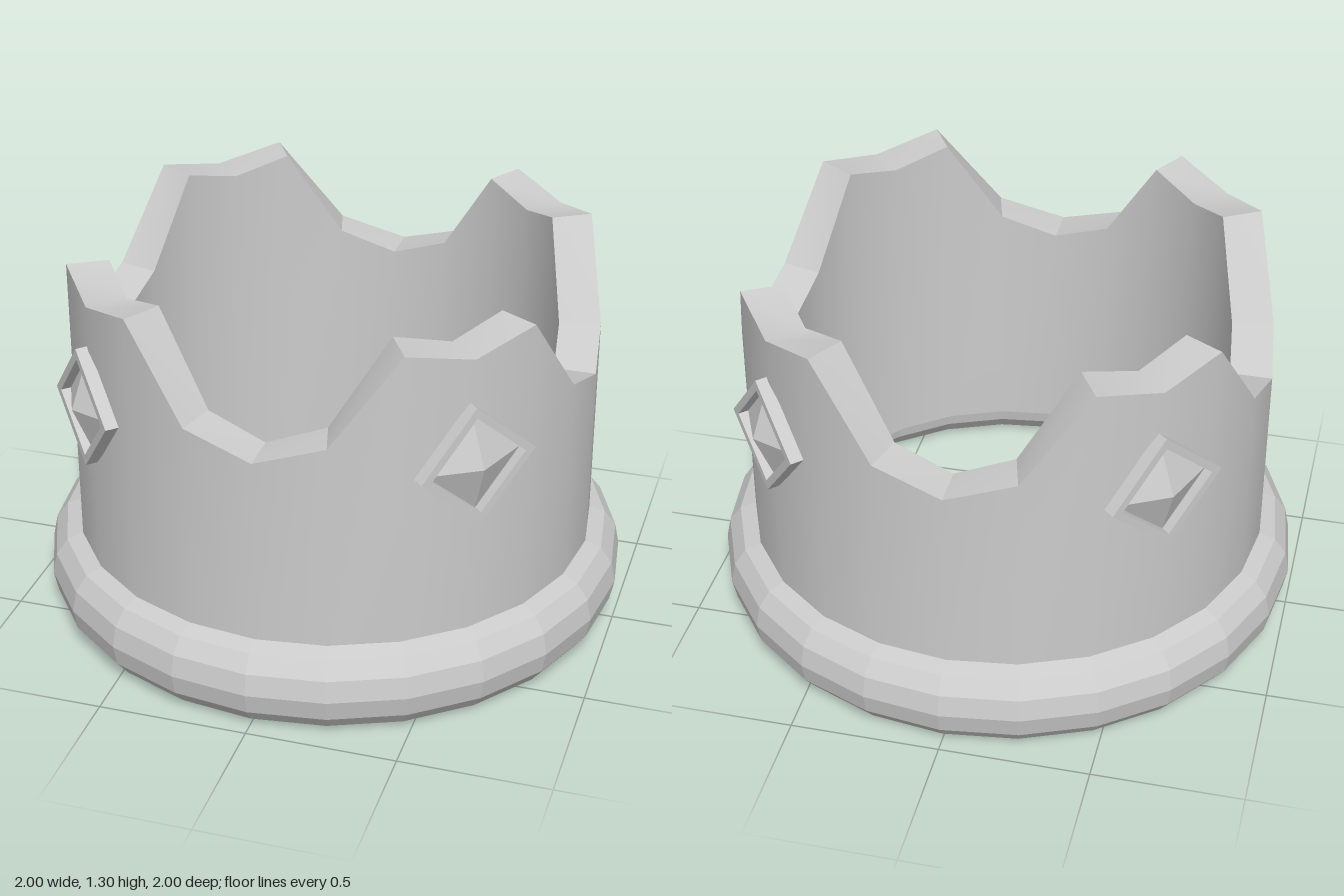
import * as THREE from 'three';
import { toCreasedNormals } from 'three/addons/utils/BufferGeometryUtils.js';

const SIDES = 24;
const OUTER = 0.89;
const INNER = 0.75;
const WALL_BOTTOM = 0.14;
// rim height at each 15 degree step, repeated for every quarter turn
const RIM = [0.93, 1.0, 1.3, 1.25, 1.3, 1.0];

// Ring wall with a closed cross-section swept around y
function wallGeometry() {
  const positions = [];
  const index = [];
  for (let i = 0; i < SIDES; i++) {
    const a = (i / SIDES) * Math.PI * 2;
    const top = RIM[i % RIM.length];
    const section = [[OUTER, WALL_BOTTOM], [OUTER, top], [INNER, top], [INNER, WALL_BOTTOM]];
    for (const [r, y] of section) positions.push(r * Math.sin(a), y, r * Math.cos(a));
  }
  for (let i = 0; i < SIDES; i++) {
    const next = (i + 1) % SIDES;
    for (let k = 0; k < 4; k++) {
      const l = (k + 1) % 4;
      const a = i * 4 + k, b = next * 4 + k, c = next * 4 + l, d = i * 4 + l;
      index.push(a, b, c, a, c, d);
    }
  }
  const g = new THREE.BufferGeometry();
  g.setAttribute('position', new THREE.Float32BufferAttribute(positions, 3));
  g.setIndex(index);
  return toCreasedNormals(g, 0.5);
}

function diamond(path, r) {
  path.moveTo(r, 0);
  path.lineTo(0, r);
  path.lineTo(-r, 0);
  path.lineTo(0, -r);
  path.closePath();
  return path;
}

export function createModel() {
  const crown = new THREE.Group();
  crown.name = 'crown';
  const smooth = new THREE.MeshStandardMaterial({ color: 0xcccccc });
  const flat = new THREE.MeshStandardMaterial({ color: 0xcccccc, flatShading: true });

  const add = (parent, name, geometry, material) => {
    const mesh = new THREE.Mesh(geometry, material);
    mesh.name = name;
    parent.add(mesh);
    return mesh;
  };

  // Pointed wall
  add(crown, 'wall', wallGeometry(), smooth);

  // Faceted base ring, taller than it is wide
  const ring = new THREE.TorusGeometry(OUTER, 0.11, 12, SIDES);
  ring.scale(1, 1, 0.145 / 0.11);
  ring.rotateX(Math.PI / 2);
  ring.translate(0, 0.145, 0);
  add(crown, 'baseRing', ring, flat);

  // Diamond frame and its pyramid jewel, facing +z
  const frameShape = diamond(new THREE.Shape(), 0.205);
  frameShape.holes.push(diamond(new THREE.Path(), 0.168));
  const frame = new THREE.ExtrudeGeometry(frameShape, { depth: 0.045, bevelEnabled: false });
  const jewel = new THREE.ConeGeometry(0.168, 0.065, 4);
  jewel.rotateX(Math.PI / 2);
  jewel.translate(0, 0, 0.0425);

  // One slightly rolled setting on each point
  for (let i = 0; i < 4; i++) {
    const setting = new THREE.Group();
    setting.name = 'jewelSetting';
    const a = Math.PI / 4 + (i * Math.PI) / 2;
    setting.position.set(Math.sin(a) * 0.883, 0.902, Math.cos(a) * 0.883);
    setting.rotation.set(0, a, 0.07);
    add(setting, 'jewelFrame', frame, flat);
    add(setting, 'jewel', jewel, flat);
    crown.add(setting);
  }
  return crown;
}
